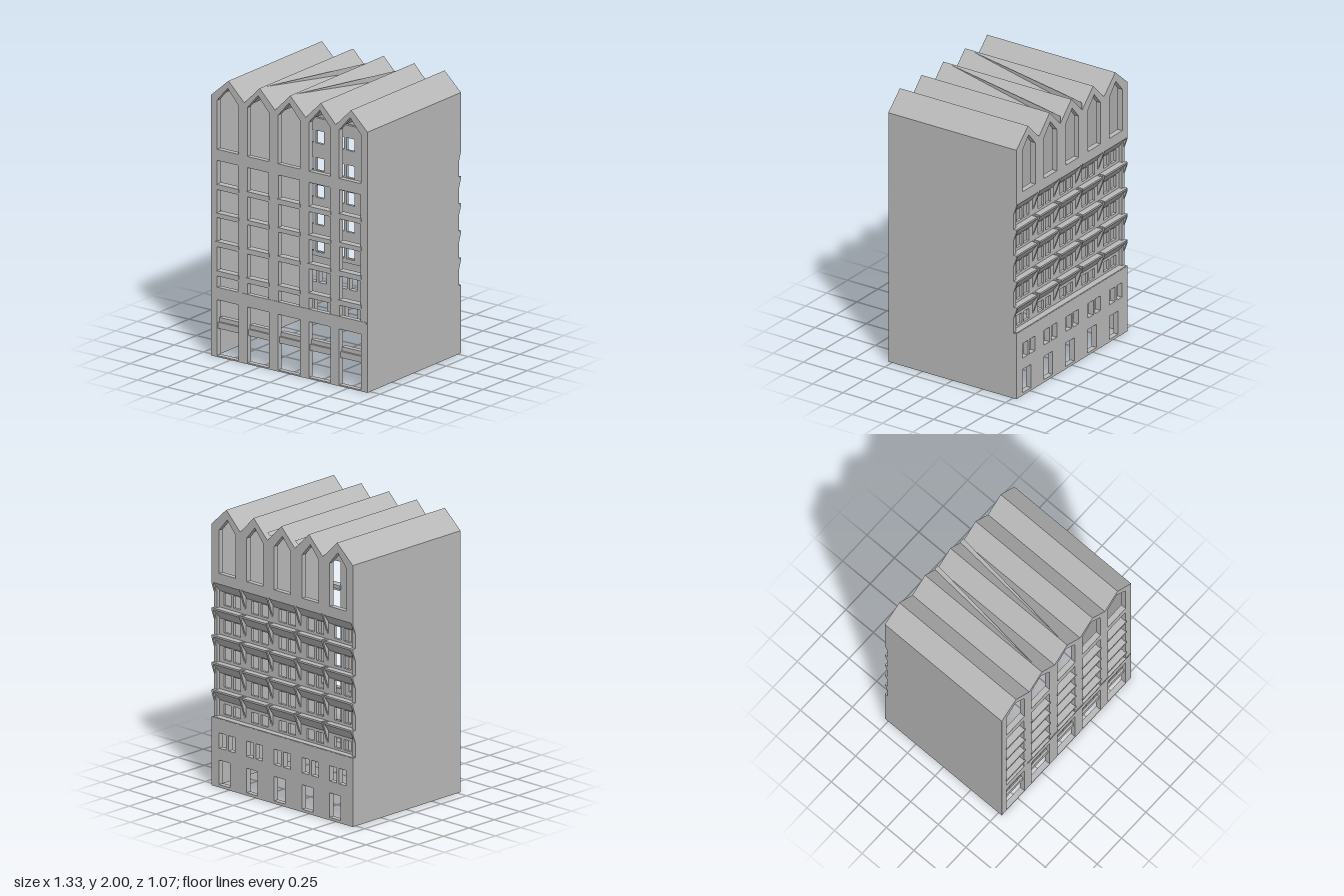
import * as THREE from 'three';

const grey = new THREE.MeshStandardMaterial({ color: 0xb8b8b8 });
grey.name = 'stoneGrey';

const W = 0.665, D = 0.53, T = 0.04;               // half width, half depth, wall thickness
const centres = [-0.524, -0.265, -0.002, 0.258, 0.517]; // window columns
const ridges = [-0.517, -0.252, 0.008, 0.268, 0.526];
const valleys = [-W, -0.382, -0.121, 0.14, 0.395, W];
const PEAK = 2, VALLEY = 1.87;
const PITCH = 0.195;                                // storey height of the back bays

// zigzag roof line from left to right
const zigzag = (drop = 0) => {
  const pts = [[valleys[0], VALLEY - drop]];
  ridges.forEach((r, i) => pts.push([r, PEAK - drop], [valleys[i + 1], VALLEY - drop]));
  return pts;
};
const toPath = (pts, Type) => new Type(pts.map(([x, y]) => new THREE.Vector2(x, y)));
const rect = (x0, x1, y0, y1) => [[x0, y0], [x1, y0], [x1, y1], [x0, y1]];
const pointed = (c, w, y0, y1, top) => [[c - w, y0], [c + w, y0], [c + w, y1], [c, top], [c - w, y1]];

export function createModel() {
  const building = new THREE.Group();
  building.name = 'gabledBuilding';

  const add = (name, geo, parent = building) => {
    const m = new THREE.Mesh(geo, grey);
    m.name = name;
    parent.add(m);
    return m;
  };
  const group = (name) => {
    const g = new THREE.Group();
    g.name = name;
    building.add(g);
    return g;
  };
  // wall in the xy plane between z0 and z1
  const wall = (name, outline, holes, z0, z1) => {
    const s = toPath(outline, THREE.Shape);
    s.holes = holes.map((h) => toPath(h, THREE.Path));
    const g = new THREE.ExtrudeGeometry(s, { depth: z1 - z0, bevelEnabled: false });
    return add(name, g.translate(0, 0, z0));
  };
  // (z, y) profile swept along x from x0 to x1
  const sweep = (name, profile, x0, x1, parent) => {
    const g = new THREE.ExtrudeGeometry(toPath(profile, THREE.Shape), { depth: x1 - x0, bevelEnabled: false });
    return add(name, g.rotateY(-Math.PI / 2).translate(x1, 0, 0), parent);
  };
  const block = (name, x0, x1, y0, y1, z0, z1, parent) =>
    add(name, new THREE.BoxGeometry(x1 - x0, y1 - y0, z1 - z0)
      .translate((x0 + x1) / 2, (y0 + y1) / 2, (z0 + z1) / 2), parent);

  // front wall: arched loft openings, five storeys of windows, ground floor bays
  const storeys = [[1.235, 1.41], [1.03, 1.2], [0.825, 1.0], [0.615, 0.79], [0.5, 0.58]];
  const frontHoles = [];
  for (const c of centres) {
    frontHoles.push(pointed(c, 0.092, 1.49, 1.84, 1.945));
    for (const [y0, y1] of storeys) frontHoles.push(rect(c - 0.09, c + 0.09, y0, y1));
    frontHoles.push(rect(c - 0.092, c + 0.092, 0.01, 0.41));
  }
  wall('frontWall', [[-W, 0], [W, 0], ...zigzag().reverse()], frontHoles, D - T, D);

  // front sills, ground floor transoms and the string course
  const sills = group('frontSills');
  const transoms = group('groundTransoms');
  for (const c of centres) {
    for (const [y0] of storeys.slice(0, 4)) block('sill', c - 0.097, c + 0.097, y0 - 0.02, y0 + 0.005, D - 0.05, D + 0.006, sills);
    block('transom', c - 0.092, c + 0.092, 0.2, 0.245, D - 0.07, D - 0.015, transoms);
    block('transomLedge', c - 0.092, c + 0.092, 0.245, 0.275, D - 0.07, D - 0.03, transoms);
  }
  block('stringCourse', -0.4, 0.655, 0.49, 0.502, D - 0.03, D + 0.004);

  // pairs of panes per bay
  const panes = (c, y0, y1) => [rect(c - 0.075, c - 0.011, y0, y1), rect(c + 0.011, c + 0.077, y0, y1)];

  // back wall: lower floor with doors, upper gables, recessed middle
  wall('backLowerWall', rect(-W, W, 0, 0.49),
    centres.flatMap((c) => [...panes(c, 0.28, 0.39), rect(c - 0.027, c + 0.078, 0.02, 0.195)]), -D, -D + T);
  wall('backGableWall', [[-W, 1.46], [W, 1.46], ...zigzag().reverse()],
    centres.map((c) => pointed(c, 0.077, 1.53, 1.84, 1.93)), -D, -D + T);
  const paneHoles = [];
  for (const c of centres) for (let i = 0; i < 5; i++) paneHoles.push(...panes(c, 1.29 - i * PITCH, (i < 4 ? 1.38 : 1.365) - i * PITCH));
  wall('backWindowWall', rect(-W + 0.02, W - 0.02, 0.48, 1.47), paneHoles, -0.48, -0.46);

  // slanted panels over each back window, with tapered fins between the bays
  const panels = group('backSlantedPanels');
  const fins = group('backFins');
  for (let i = 0; i < 5; i++) {
    const top = 1.465 - i * PITCH;
    const low = 1.385 - i * PITCH;
    for (let k = 0; k < 5; k++) {
      sweep('slantedPanel', [[-0.479, top], [-0.527, top], [-0.527, top - 0.012], [-0.479, low]],
        valleys[k] + 0.016, valleys[k + 1] - 0.016, panels);
    }
    for (const v of valleys) {
      const x = THREE.MathUtils.clamp(v, -W + 0.008, W - 0.008);
      sweep('fin', [[-0.478, top], [-0.529, top], [-0.529, top - 0.02], [-0.478, top - 0.165]], x - 0.008, x + 0.008, fins);
    }
  }
  block('backLedge', -W + 0.01, W - 0.01, 0.485, 0.495, -0.528, -0.47);

  // side walls, stepped in at the recessed back storeys
  const side = [[0.49, 0], [0.49, 1.86], [-0.49, 1.86], [-0.49, 1.46], [-0.505, 1.46], [-0.505, 0.49], [-0.49, 0.49], [-0.49, 0]];
  sweep('rightSideWall', side, -W, -W + 0.03);
  sweep('leftSideWall', side, W - 0.03, W);

  // folded roof
  wall('roof', [...zigzag(0.03), ...zigzag().reverse()], [], -D + T, D - T);

  // raised seams running diagonally down two roof slopes
  for (const i of [1, 2]) {
    const r = ridges[i], v = valleys[i + 1];
    const g = new THREE.BufferGeometry();
    g.setAttribute('position', new THREE.Float32BufferAttribute([
      r, 1.998, 0.5, v, 1.925, -D, v - 0.03, 1.905, -D,
      r, 1.998, 0.5, v, VALLEY + 0.002, -D, v, 1.925, -D].map((n) => n), 3));
    g.computeVertexNormals();
    const seam = add('roofSeam', g);
    seam.scale.y = 1;
  }
  return building;
}
